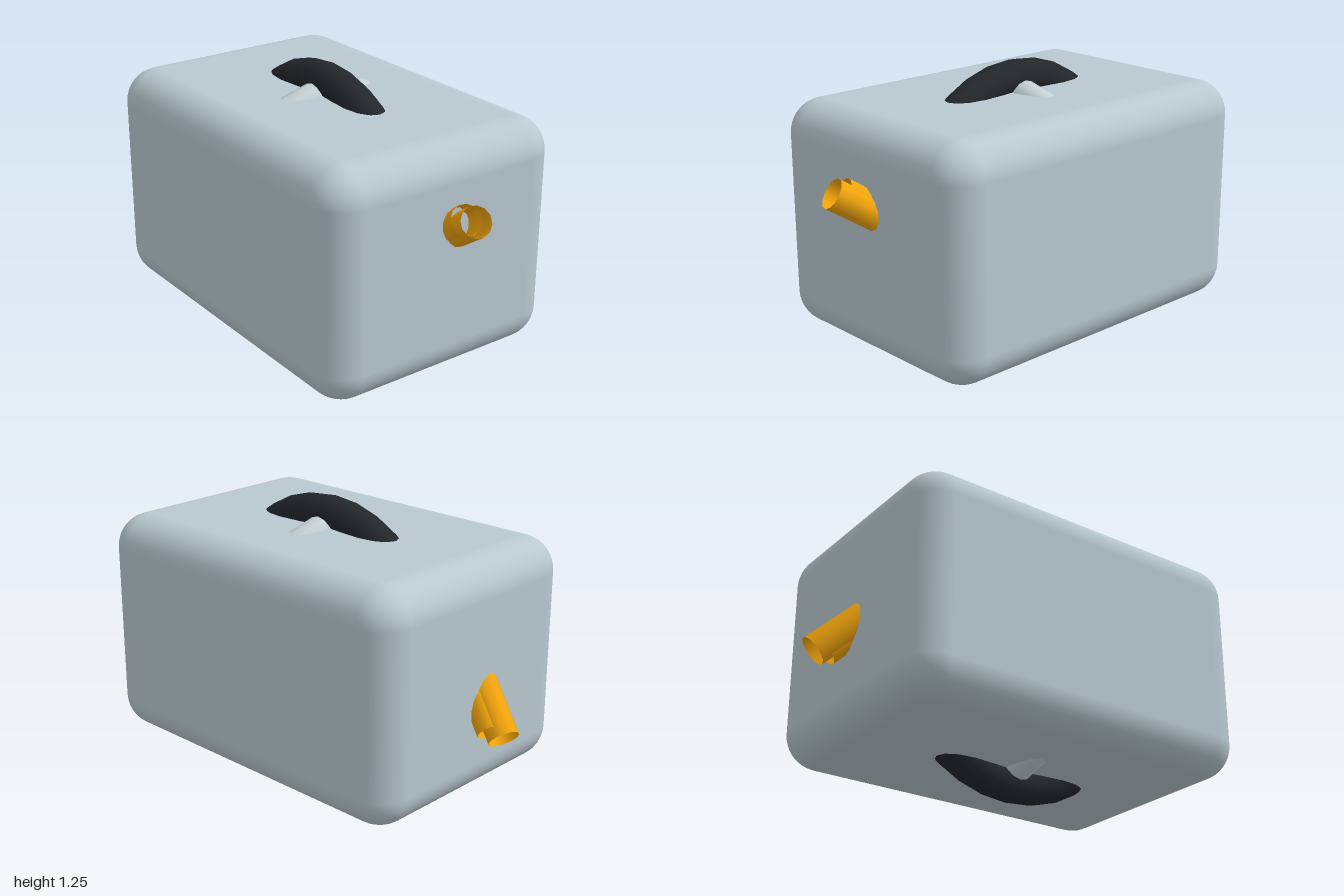
import * as THREE from 'three';
import { RoundedBoxGeometry } from 'three/addons/geometries/RoundedBoxGeometry.js';

const CENTRE_Y = 0.625;

function part(name, geometry, material) {
  const mesh = new THREE.Mesh(geometry, material);
  mesh.name = name;
  return mesh;
}

// Open tube whose outer mouth is at `end`, pointing along `dir`
function openTube(name, end, dir, length, material) {
  const geometry = new THREE.CylinderGeometry(0.065, 0.065, length, 12, 1, true);
  geometry.translate(0, -length / 2, 0);
  const mesh = part(name, geometry, material);
  mesh.position.copy(end);
  mesh.quaternion.setFromUnitVectors(new THREE.Vector3(0, 1, 0), dir.clone().normalize());
  return mesh;
}

export function createModel() {
  const model = new THREE.Group();
  const shell = new THREE.MeshStandardMaterial({ color: 0xb9c8d0 });
  const black = new THREE.MeshStandardMaterial({ color: 0x22272a });
  const silver = new THREE.MeshStandardMaterial({ color: 0xc4d0d5 });
  const gold = new THREE.MeshStandardMaterial({ color: 0xf0a30c, side: THREE.DoubleSide });

  // Rounded case
  const body = part('case', new RoundedBoxGeometry(1.65, 1, 1.14, 5, 0.15), shell);
  body.position.y = CENTRE_Y;
  model.add(body);

  // Large dark ring, showing through the top and bottom
  const darkRing = part('darkRing', new THREE.TorusGeometry(0.55, 0.075, 12, 32), black);
  darkRing.position.y = CENTRE_Y;
  model.add(darkRing);

  // Smaller pale ring, turned across the dark one
  const paleGeometry = new THREE.TorusGeometry(0.48, 0.07, 12, 24);
  paleGeometry.rotateZ(Math.PI / 24);
  paleGeometry.rotateY(Math.PI / 2);
  const paleRing = part('paleRing', paleGeometry, silver);
  paleRing.position.y = CENTRE_Y;
  model.add(paleRing);

  // Slanted pipe ends, each with a second overlapping sleeve
  const pipes = [
    { name: 'leftPipe', end: [0.963, 0.868, 0], dir: [0.8, 0.54, 0.24], sleeve: [-0.05, -0.01, 0.005] },
    { name: 'rightPipe', end: [-0.96, 0.432, -0.005], dir: [-0.68, -0.66, -0.28], sleeve: [0.052, 0.018, -0.005] },
  ];
  for (const { name, end, dir, sleeve } of pipes) {
    const group = new THREE.Group();
    group.name = name;
    const mouth = new THREE.Vector3(...end);
    const axis = new THREE.Vector3(...dir);
    group.add(openTube('pipe', mouth, axis, 0.26, gold));
    group.add(openTube('sleeve', mouth.clone().add(new THREE.Vector3(...sleeve)), axis, 0.24, gold));
    model.add(group);
  }
  return model;
}
